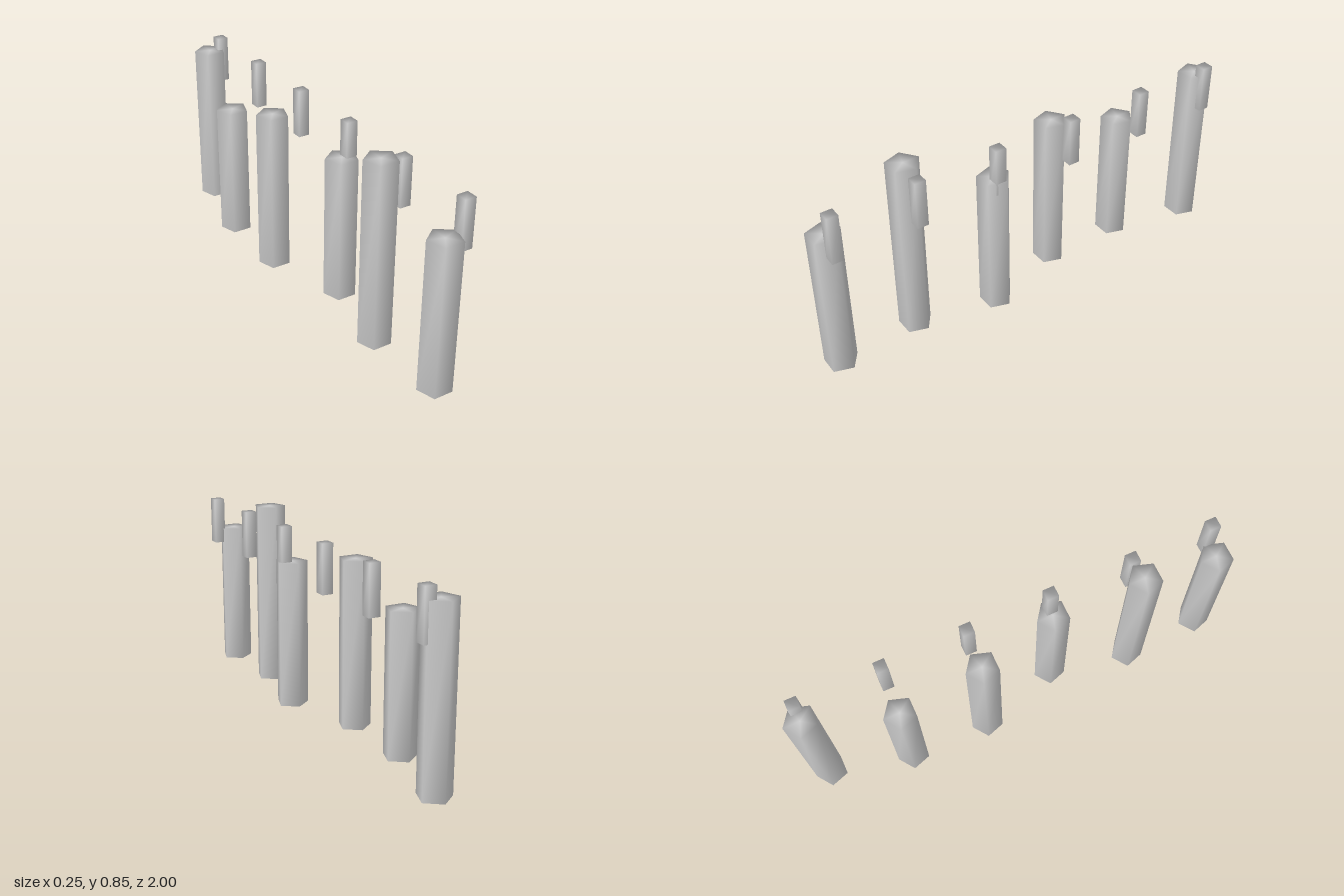
import * as THREE from 'three';
import { mergeVertices } from 'three/addons/utils/BufferGeometryUtils.js';

// Weld all corners so normals are smooth across every edge
function smooth(geometry) {
  geometry.deleteAttribute('normal');
  geometry.deleteAttribute('uv');
  const welded = mergeVertices(geometry, 1e-4);
  welded.computeVertexNormals();
  return welded;
}

export function createModel() {
  const model = new THREE.Group();
  model.name = 'postRow';
  const material = new THREE.MeshStandardMaterial({ color: 0xcccccc });

  // Sideways offset and height of each post, front to back
  const posts = [
    [0.002, 0.68], [-0.02, 0.845], [0.055, 0.667],
    [-0.058, 0.745], [-0.056, 0.625], [0.028, 0.773],
  ];
  const radius = 0.0735, frontZ = 0.94, spacing = 0.3733;
  const blockGeometry = smooth(new THREE.BoxGeometry(0.05, 0.216, 0.05));

  posts.forEach(([x, height], i) => {
    const z = frontZ - i * spacing;

    // Five-sided post, its point facing back
    const geometry = new THREE.CylinderGeometry(radius, radius, height, 5).rotateY(Math.PI);
    const post = new THREE.Mesh(smooth(geometry), material);
    post.name = `post${i + 1}`;
    post.position.set(x, height / 2, z);

    // Small upright block, all in one straight line
    const block = new THREE.Mesh(blockGeometry, material);
    block.name = `block${i + 1}`;
    block.position.set(0.087, 0.72, z);

    model.add(post, block);
  });
  return model;
}
